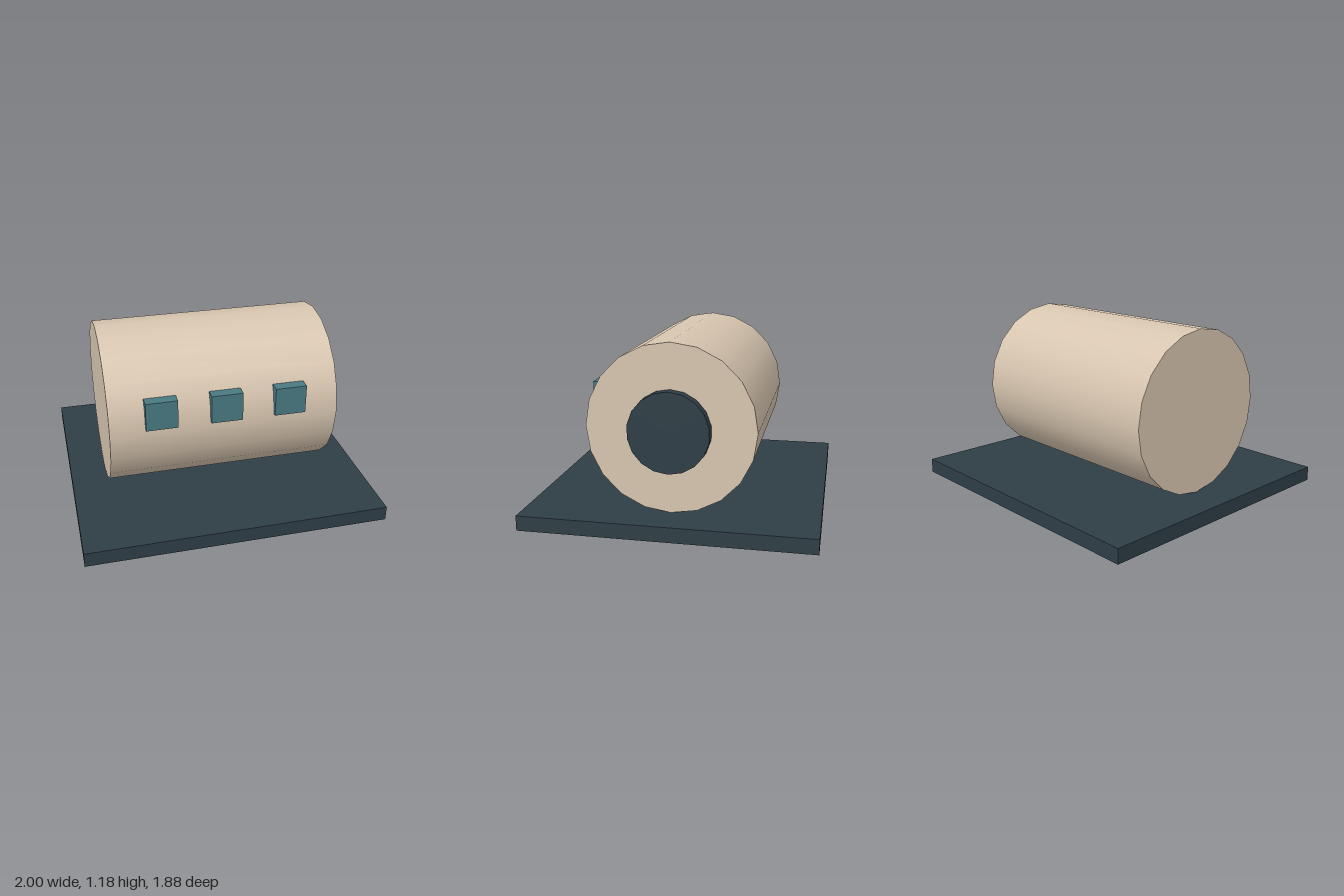
import * as THREE from 'three';

function material(name, color) {
  const m = new THREE.MeshStandardMaterial({ color });
  m.name = name;
  return m;
}

export function createModel() {
  const group = new THREE.Group();
  group.name = 'cylindricalModule';
  const tan = material('warm tan', 0xd8c6b0);
  const slate = material('dark slate', 0x2f3e46);
  const teal = material('window teal', 0x4a7a82);

  const add = (name, geometry, mat, x, y, z) => {
    const mesh = new THREE.Mesh(geometry, mat);
    mesh.name = name;
    mesh.position.set(x, y, z);
    group.add(mesh);
  };

  // Cylinder lying along x, with a corner at its top
  const lyingCylinder = (radius, length, sides) =>
    new THREE.CylinderGeometry(radius, radius, length, sides)
      .rotateY(Math.PI / 2)
      .rotateZ(-Math.PI / 2);

  // Ground slab
  add('base', new THREE.BoxGeometry(2, 0.098, 1.878), slate, 0, 0.049, 0);

  // Main body, resting on the slab
  add('body', lyingCylinder(0.543, 1.514, 20), tan, 0, 0.641, 0);

  // Round hatch, slightly sunk into the end of the body
  add('hatch', lyingCylinder(0.26, 0.15, 18), slate, 0.755, 0.634, 0);

  // Row of windows along the front
  for (const x of [-0.424, 0, 0.424]) {
    add('window', new THREE.BoxGeometry(0.207, 0.193, 0.075), teal, x, 0.778, 0.526);
  }

  return group;
}
